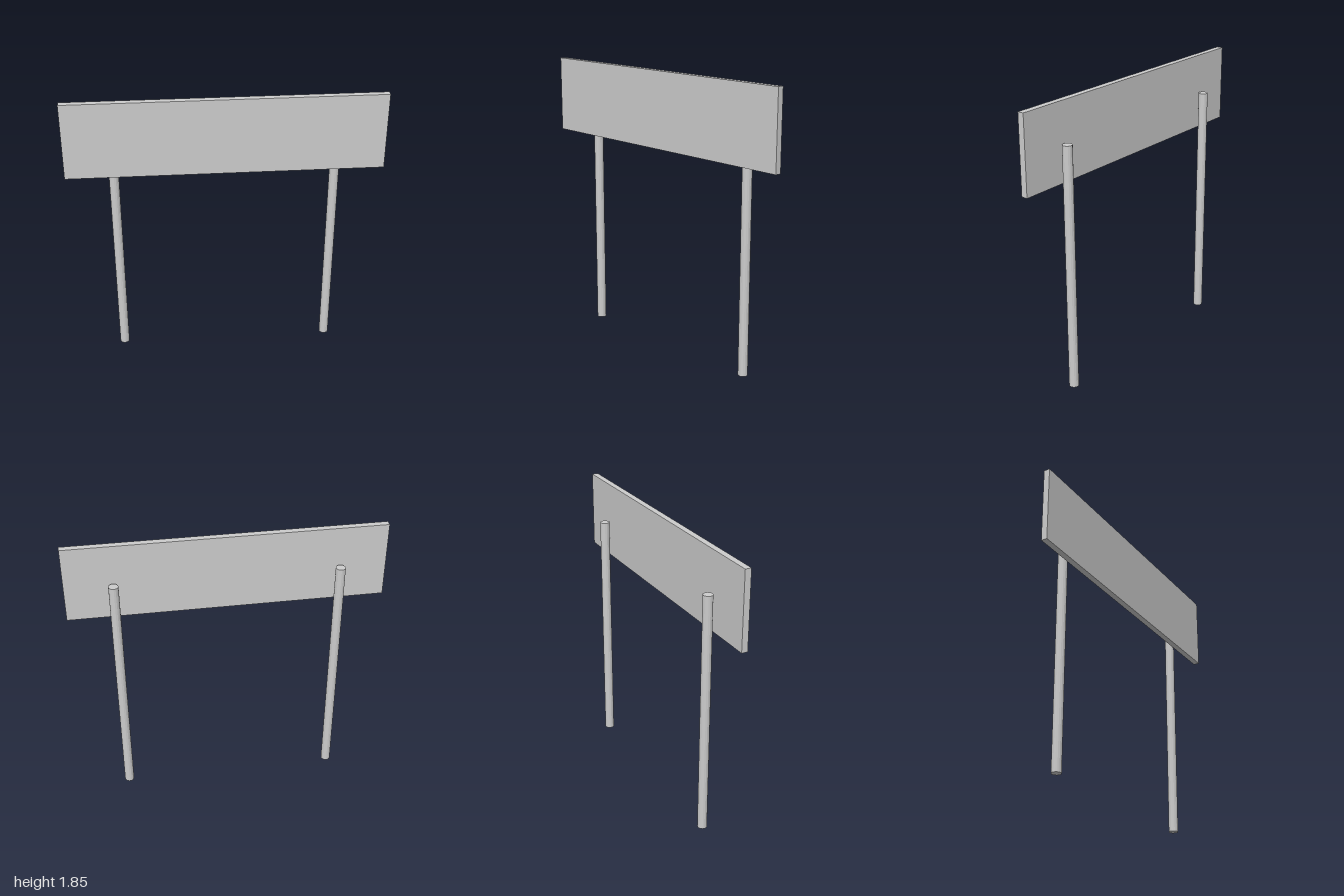
import * as THREE from 'three';

export function createModel() {
  const group = new THREE.Group();
  const material = new THREE.MeshStandardMaterial({ color: 0xcccccc, flatShading: true });

  // Sign panel
  const panel = new THREE.Mesh(new THREE.BoxGeometry(2, 0.5, 0.04), material);
  panel.name = 'signPanel';
  panel.position.set(0, 1.6, 0.039);
  group.add(panel);

  // Two round posts standing just behind the panel
  const postHeight = 1.6;
  const postGeometry = new THREE.CylinderGeometry(0.031, 0.031, postHeight, 16);
  for (const side of [-1, 1]) {
    const post = new THREE.Mesh(postGeometry, material);
    post.name = side > 0 ? 'leftPost' : 'rightPost';
    post.position.set(side * 0.7, postHeight / 2, -0.029);
    group.add(post);
  }

  return group;
}
